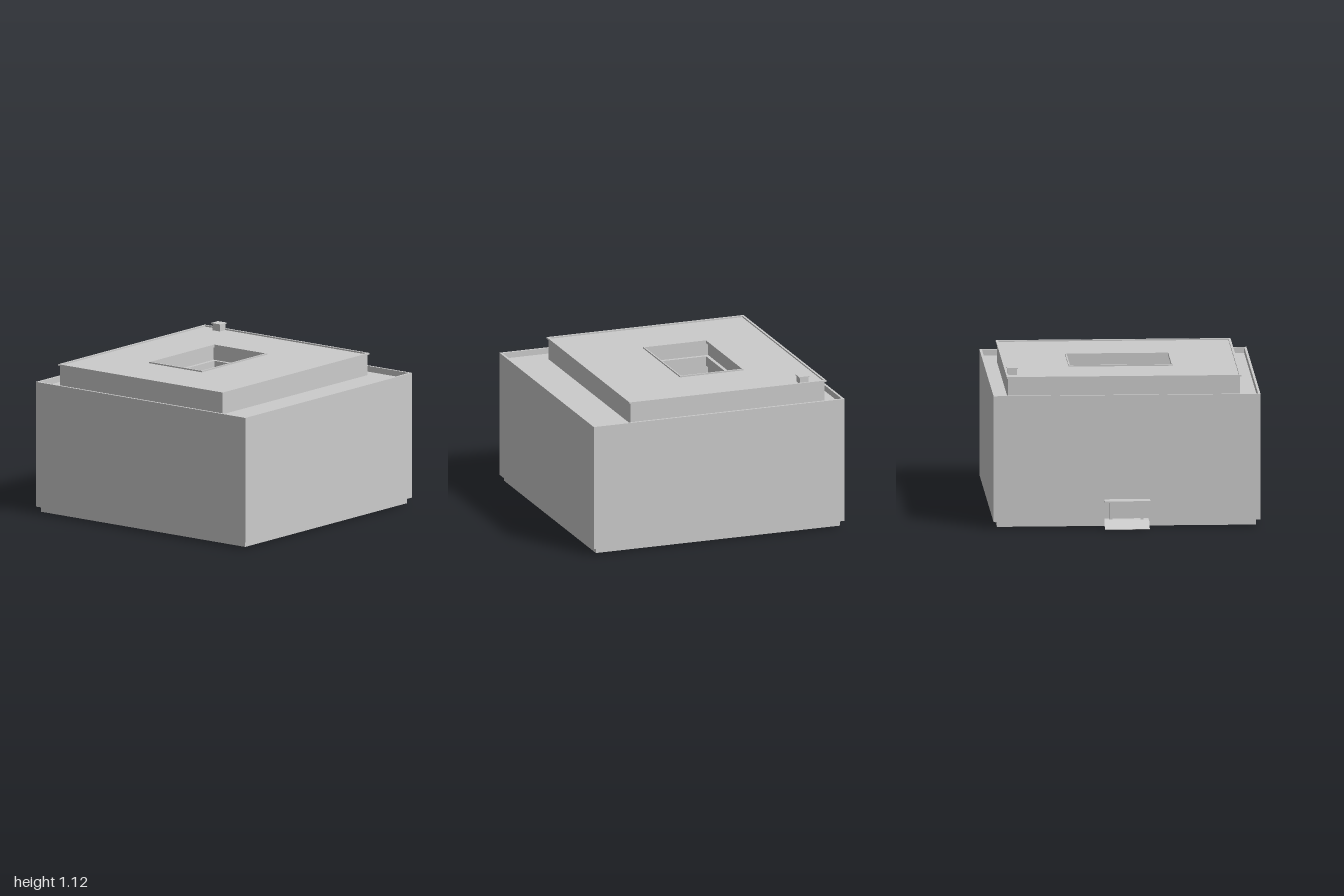
import * as THREE from 'three';

const mat = new THREE.MeshStandardMaterial({ color: 0xcccccc, flatShading: true, side: THREE.DoubleSide });

// Rectangles are [xMin, xMax, zMin, zMax]
const BODY = [-0.955, 0.95, -0.91, 1.0];
const BASE = [-0.925, 0.925, -0.885, 0.975];
const UPPER = [-0.815, 0.84, -0.8, 0.68];
const COURT = [-0.35, 0.375, -0.345, 0.12];

const grow = ([a, b, c, d], s) => [a - s, b + s, c - s, d + s];
const corners = ([a, b, c, d]) => [[a, c], [b, c], [b, d], [a, d]];
const toV2 = pts => pts.map(([x, z]) => new THREE.Vector2(x, -z));

export function createModel() {
  const model = new THREE.Group();

  const add = (name, geometry) => {
    const mesh = new THREE.Mesh(geometry, mat);
    mesh.name = name;
    model.add(mesh);
    return mesh;
  };

  // Vertical extrusion of a plan outline, with an optional hole
  const prism = (name, outline, hole, y0, y1) => {
    const shape = new THREE.Shape(toV2(outline));
    if (hole) shape.holes.push(new THREE.Path(toV2(hole)));
    const g = new THREE.ExtrudeGeometry(shape, { depth: y1 - y0, bevelEnabled: false });
    g.rotateX(-Math.PI / 2).translate(0, y0, 0);
    return add(name, g);
  };
  const ring = (name, outer, inner, y0, y1) => prism(name, corners(outer), corners(inner), y0, y1);
  const box = (name, x0, x1, y0, y1, z0, z1) =>
    add(name, new THREE.BoxGeometry(x1 - x0, y1 - y0, z1 - z0)
      .translate((x0 + x1) / 2, (y0 + y1) / 2, (z0 + z1) / 2));

  // Plinth, open underneath, and the soffit above it
  ring('plinth', BASE, grow(BASE, -0.012), 0.01, 0.05);
  ring('soffit', grow(BODY, -0.002), grow(BASE, -0.012), 0.05, 0.055);

  // Outer walls; the lower course leaves a gap for the rear entrance
  const t = 0.017, doorX = 0.16, doorTop = 0.19;
  const [x0, x1, z0, z1] = BODY;
  prism('lowerWalls', [
    [doorX, z0], [x1, z0], [x1, z1], [x0, z1], [x0, z0], [-doorX, z0],
    [-doorX, z0 + t], [x0 + t, z0 + t], [x0 + t, z1 - t], [x1 - t, z1 - t], [x1 - t, z0 + t], [doorX, z0 + t],
  ], null, 0.05, doorTop);
  ring('upperWalls', BODY, grow(BODY, -t), doorTop, 0.96);

  // Roof deck below the parapet
  ring('mainRoof', grow(BODY, -t), grow(COURT, 0.025), 0.9, 0.918);

  // Set-back top storey with thin copings
  ring('topStoreyWalls', UPPER, grow(UPPER, -0.015), 0.918, 1.07);
  ring('topRoof', grow(UPPER, -0.002), COURT, 1.06, 1.07);
  ring('roofCoping', grow(UPPER, 0.01), grow(UPPER, -0.006), 1.068, 1.08);
  ring('courtyardCoping', grow(COURT, 0.01), COURT, 1.068, 1.08);

  // Courtyard shaft with recessed window bands on every floor
  const floors = 6, pitch = 1.07 / floors, profile = [];
  for (let i = 0; i < floors; i++) {
    const y = i * pitch;
    profile.push([0, y], [0, y + 0.07], [0.025, y + 0.07], [0.025, y + pitch]);
  }
  profile.push([0, 1.07]);
  const pos = [];
  for (let i = 0; i + 1 < profile.length; i++) {
    const [s0, y0] = profile[i], [s1, y1] = profile[i + 1];
    const lo = corners(grow(COURT, s0)), hi = corners(grow(COURT, s1));
    for (let k = 0; k < 4; k++) {
      const n = (k + 1) % 4;
      const a = [lo[k][0], y0, lo[k][1]], b = [lo[n][0], y0, lo[n][1]];
      const c = [hi[n][0], y1, hi[n][1]], d = [hi[k][0], y1, hi[k][1]];
      pos.push(...a, ...b, ...c, ...a, ...c, ...d);
    }
  }
  const shaft = new THREE.BufferGeometry();
  shaft.setAttribute('position', new THREE.Float32BufferAttribute(pos, 3));
  shaft.computeVertexNormals();
  add('courtyardWalls', shaft);

  // Chimney with a slightly wider cap
  box('chimney', 0.772, 0.836, 1.065, 1.118, -0.678, -0.612);
  box('chimneyCap', 0.765, 0.842, 1.116, 1.124, -0.685, -0.605);

  // Rear entrance: recess, posts, canopy and ramp
  const back = z0 + 0.055;
  box('entranceBack', -doorX, doorX, 0.05, doorTop, back, back + 0.005);
  box('entranceFloor', -doorX, doorX, 0.05, 0.058, z0, back);
  for (const s of [-1, 1]) {
    box('entranceSide', s * doorX - 0.003, s * doorX + 0.003, 0.05, doorTop, z0 + 0.001, back);
    box('entrancePost', s * 0.11 - 0.01, s * 0.11 + 0.01, 0.055, doorTop, z0 + 0.003, z0 + 0.023);
  }
  box('canopy', -0.165, 0.16, 0.195, 0.207, -1, z0 + 0.01);
  box('entranceLintel', -doorX, doorX, doorTop - 0.005, doorTop, z0 + 0.001, back);
  const ramp = add('ramp', new THREE.BoxGeometry(0.32, 0.005, Math.hypot(0.09, 0.055)));
  ramp.position.set(0, 0.03, -0.955);
  ramp.rotation.x = -Math.atan2(0.055, 0.09);

  return model;
}
